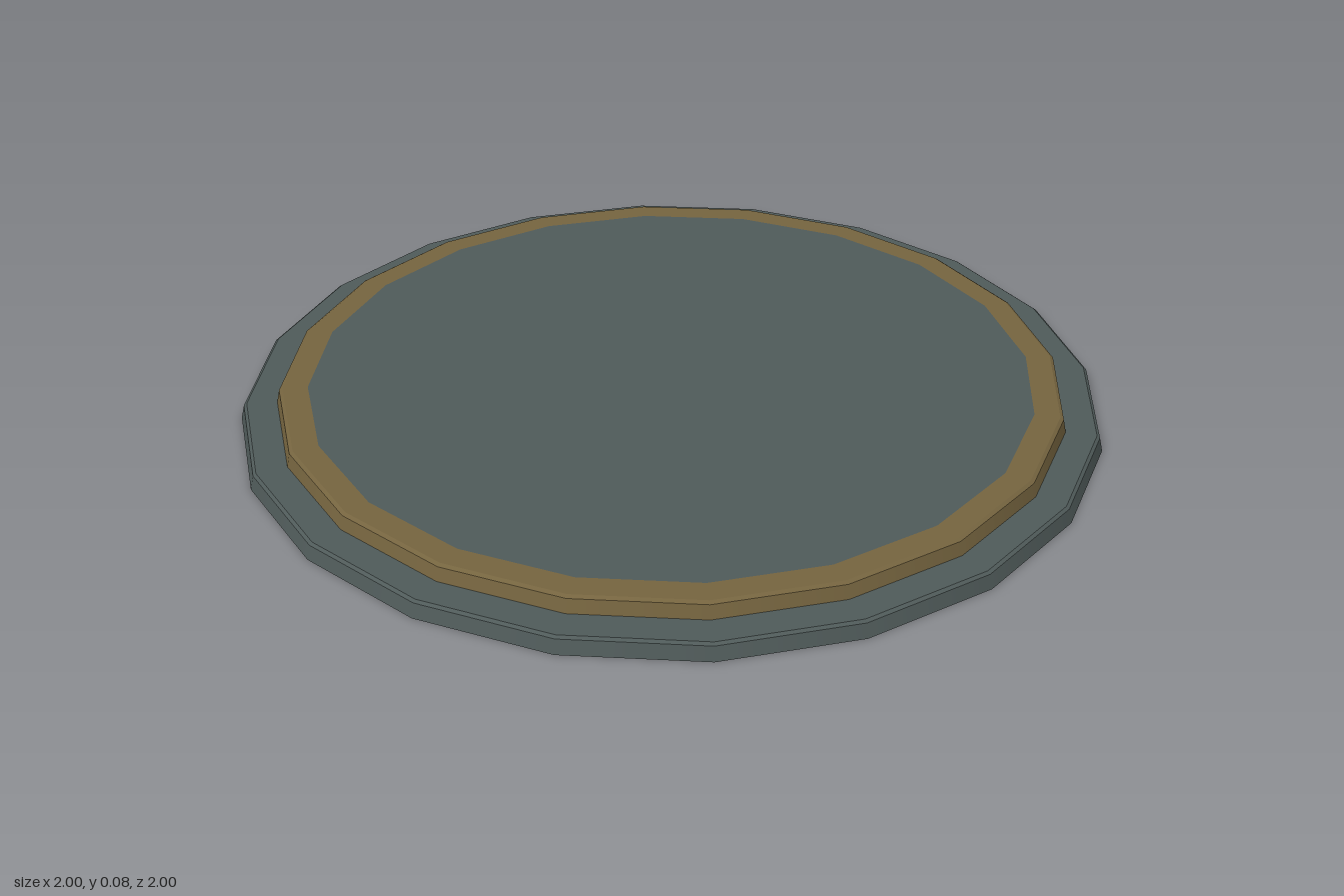
import * as THREE from 'three';

const SIDES = 20;

export function createModel() {
  const model = new THREE.Group();
  model.name = 'steppedDisc';

  const slate = new THREE.MeshStandardMaterial({ color: 0x4f5a59, side: THREE.DoubleSide });
  slate.name = 'slate grey';
  const bronze = new THREE.MeshStandardMaterial({ color: 0x75643f, side: THREE.DoubleSide });
  bronze.name = 'dull bronze';

  // Each band is its own lathe: smooth around the disc, sharp between bands
  function band(name, material, lower, upper) {
    const points = [new THREE.Vector2(...lower), new THREE.Vector2(...upper)];
    const mesh = new THREE.Mesh(new THREE.LatheGeometry(points, SIDES), material);
    mesh.name = name;
    model.add(mesh);
  }

  // Lower step, an open shell
  band('baseWall', slate, [1, 0], [0.992, 0.033]);
  band('baseBevel', slate, [0.992, 0.033], [0.985, 0.038]);
  band('baseLedge', slate, [0.985, 0.038], [0.915, 0.038]);

  // Upper step and its rim
  band('rimWall', bronze, [0.915, 0.038], [0.908, 0.07]);
  band('rimBevel', bronze, [0.908, 0.07], [0.9, 0.075]);
  band('rimTop', bronze, [0.9, 0.075], [0.842, 0.075]);

  // Flat centre
  const centre = new THREE.Mesh(new THREE.CircleGeometry(0.842, SIDES).rotateX(-Math.PI / 2), slate);
  centre.name = 'centrePlate';
  centre.position.y = 0.075;
  model.add(centre);

  return model;
}
